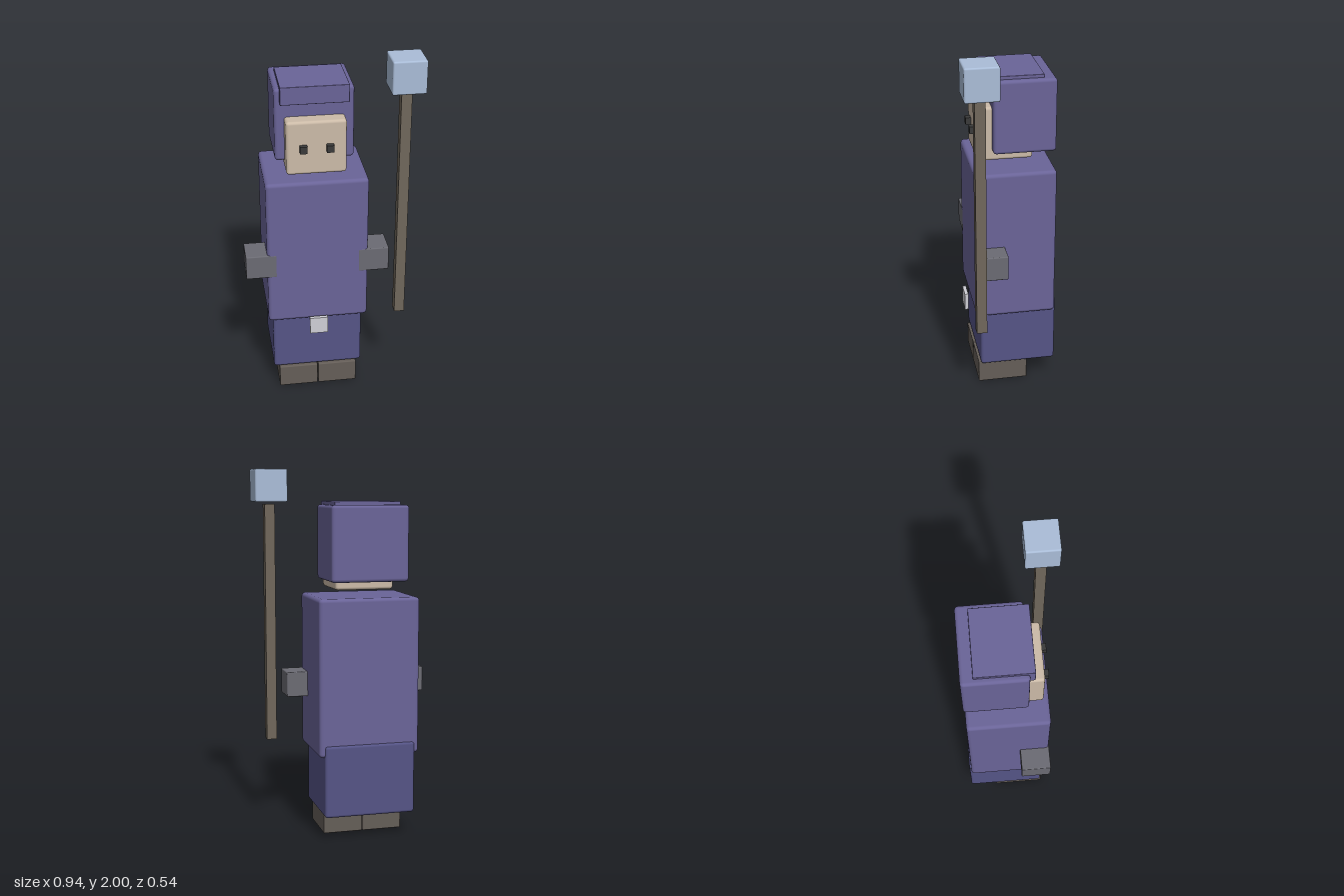
import * as THREE from 'three';
import { RoundedBoxGeometry } from 'three/addons/geometries/RoundedBoxGeometry.js';

const material = (color) => new THREE.MeshStandardMaterial({ color });
const robe = material(0x6a6498);
const skirt = material(0x555486);
const skin = material(0xccbba8);
const glove = material(0x6b6b73);
const boot = material(0x655e58);
const wood = material(0x70675b);
const crystalBlue = material(0xaabdd8);
const silver = material(0xcfcfd6);
const dark = material(0x3a3a3a);

export function createModel() {
  const model = new THREE.Group();
  model.name = 'hoodedFigure';

  // Block given by its extents on each axis, with optional softened edges
  function block(name, mat, [x0, x1], [y0, y1], [z0, z1], bevel = 0) {
    const size = [x1 - x0, y1 - y0, z1 - z0];
    const geometry = bevel
      ? new RoundedBoxGeometry(...size, 2, bevel)
      : new THREE.BoxGeometry(...size);
    const mesh = new THREE.Mesh(geometry, mat);
    mesh.name = name;
    mesh.position.set((x0 + x1) / 2, (y0 + y1) / 2, (z0 + z1) / 2);
    model.add(mesh);
  }

  // Robe
  block('torso', robe, [-0.355, 0.2], [0.465, 1.32], [-0.262, 0.18], 0.02);
  block('skirt', skirt, [-0.33, 0.172], [0.133, 0.53], [-0.272, 0.152], 0.016);
  block('buckle', silver, [-0.128, -0.028], [0.387, 0.487], [0.193, 0.213]);

  // Head and hood
  block('head', skin, [-0.238, 0.082], [1.355, 1.655], [-0.15, 0.15], 0.016);
  block('hood', robe, [-0.29, 0.133], [1.405, 1.81], [-0.27, 0.07], 0.018);
  block('hoodBrim', robe, [-0.26, 0.103], [1.73, 1.828], [-0.205, 0.098], 0.003);

  // Paired parts, mirrored about the middle of the body
  const middle = -0.078;
  for (const [side, s] of [['left', 1], ['right', -1]]) {
    const span = (a, b) => [middle + s * a, middle + s * b].sort((p, q) => p - q);
    block(side + 'Boot', boot, span(0.002, 0.222), [0, 0.132], [-0.118, 0.162], 0.006);
    block(side + 'Hand', glove, span(0.225, 0.394), [0.754, 0.892], [0.021, 0.181], 0.006);
    block(side + 'Eye', dark, span(0.051, 0.09), [1.487, 1.526], [0.14, 0.179]);
  }

  // Staff
  block('staffPole', wood, [0.35, 0.406], [0.489, 1.809], [0.155, 0.211]);
  block('staffCrystal', crystalBlue, [0.29, 0.468], [1.822, 2], [0.092, 0.27], 0.009);

  return model;
}
